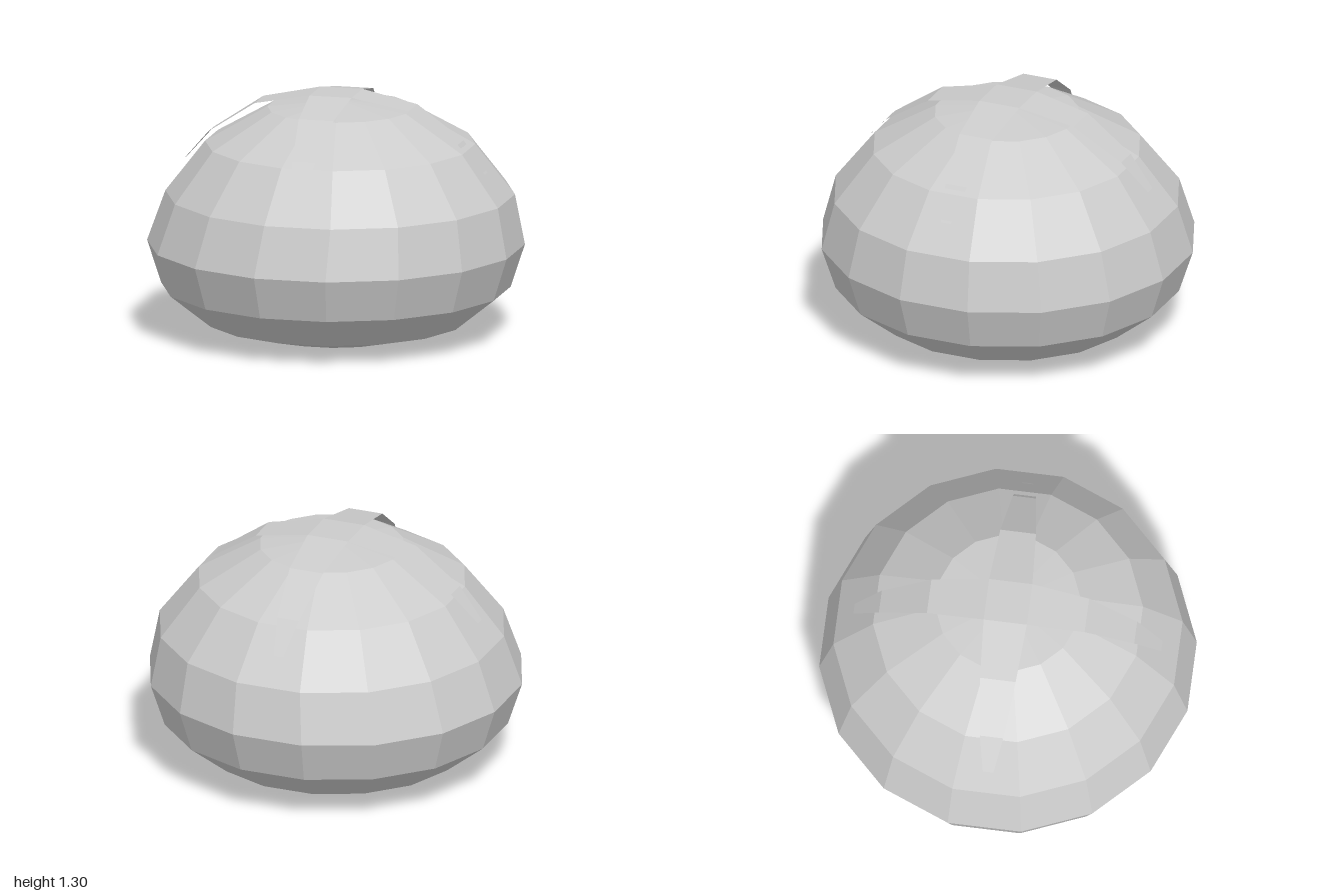
import * as THREE from 'three';

const grey = (side = THREE.FrontSide) =>
  new THREE.MeshStandardMaterial({ color: 0xcccccc, flatShading: true, side });

// Squashed sixteen-sided fruit with nearly flat ends
function makeBody() {
  const profile = [
    [0, 0.02], [0.38, 0.01], [0.7, 0.09], [0.925, 0.27], [1, 0.5],
    [0.925, 0.77], [0.715, 1.04], [0.385, 1.23], [0, 1.27],
  ].map(([r, y]) => new THREE.Vector2(r, y));
  const geo = new THREE.LatheGeometry(profile, 16);
  // The upper rings lean slightly to one side
  const p = geo.attributes.position;
  for (let i = 0; i < p.count; i++) {
    if (p.getY(i) > 0.6) p.setXYZ(i, p.getX(i) + 0.02, p.getY(i), p.getZ(i) + 0.01);
  }
  const body = new THREE.Mesh(geo, grey());
  body.name = 'fruitBody';
  return body;
}

// One arm of the leafy cap: a tapering strip draped along the body
function makeLeafArm() {
  const sections = [ // distance out, height, half width
    [0, 1.31, 0], [0.115, 1.31, 0.115], [0.42, 1.248, 0.095],
    [0.68, 1.075, 0.062], [0.82, 0.915, 0.028],
  ];
  const verts = sections.flatMap(([r, y, w]) => [r, y, w, r, y, -w]);
  const index = [];
  for (let i = 0; i < sections.length - 1; i++) {
    const a = i * 2;
    if (i > 0) index.push(a, a + 2, a + 1);
    index.push(a + 1, a + 2, a + 3);
  }
  const geo = new THREE.BufferGeometry();
  geo.setAttribute('position', new THREE.Float32BufferAttribute(verts, 3));
  geo.setIndex(index);
  geo.computeVertexNormals();
  return new THREE.Mesh(geo, grey(THREE.DoubleSide));
}

export function createModel() {
  const model = new THREE.Group();
  model.name = 'fruit';
  model.add(makeBody());

  // Four arms meeting in a cross on top
  const cap = new THREE.Group();
  cap.name = 'leafCap';
  for (let i = 0; i < 4; i++) {
    const arm = makeLeafArm();
    arm.name = 'leafArm' + (i + 1);
    arm.rotation.y = -0.59 + i * Math.PI / 2;
    cap.add(arm);
  }
  model.add(cap);
  return model;
}
